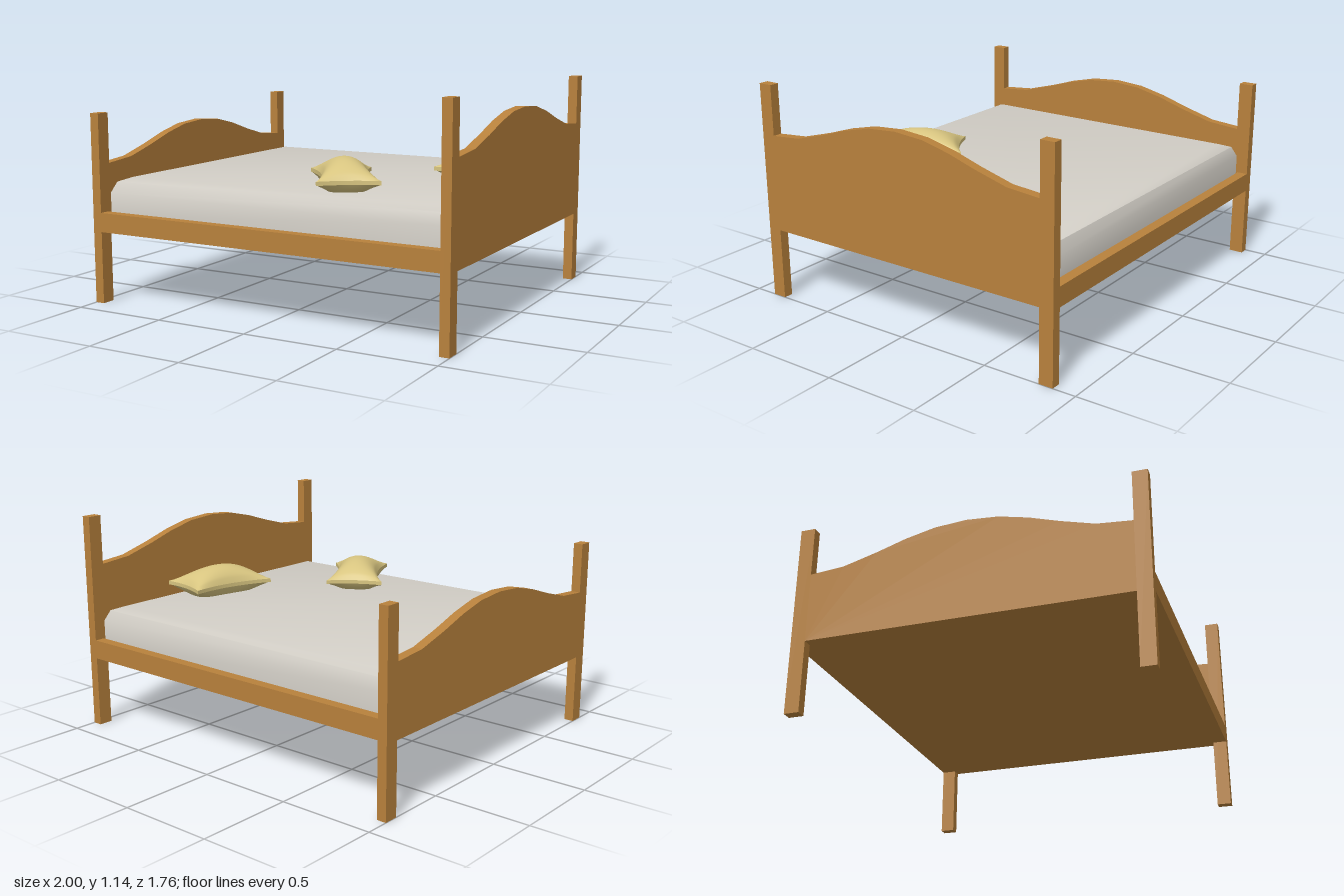
import * as THREE from 'three';
import { toCreasedNormals } from 'three/addons/utils/BufferGeometryUtils.js';

export function createModel() {
  const group = new THREE.Group();
  const wood = new THREE.MeshStandardMaterial({ name: 'wood', color: 0xb8813c });
  const sheet = new THREE.MeshStandardMaterial({ name: 'sheet', color: 0xd3cfc7 });
  const cushion = new THREE.MeshStandardMaterial({ name: 'cushion', color: 0xd8c580 });

  const add = (name, geometry, material, x = 0, y = 0, z = 0) => {
    const mesh = new THREE.Mesh(geometry, material);
    mesh.name = name;
    mesh.position.set(x, y, z);
    group.add(mesh);
    return mesh;
  };
  // Box given by its lower and upper limits
  const box = (name, [x0, y0, z0], [x1, y1, z1]) =>
    add(name, new THREE.BoxGeometry(x1 - x0, y1 - y0, z1 - z0), wood,
      (x0 + x1) / 2, (y0 + y1) / 2, (z0 + z1) / 2);

  // End boards with a wavy top edge: half outline as [z, y]
  const crest = [[0, 1.037], [0.16, 1.025], [0.31, 0.99], [0.46, 0.942], [0.63, 0.895], [0.805, 0.88]];
  const endBoard = (name, x, bottom, drop) => {
    const right = crest.map(([z, y]) => new THREE.Vector2(z, y - drop));
    const left = crest.slice(1).reverse().map(([z, y]) => new THREE.Vector2(-z, y - drop));
    const shape = new THREE.Shape([
      new THREE.Vector2(-0.805, bottom), ...left, ...right, new THREE.Vector2(0.805, bottom),
    ]);
    const geo = new THREE.ExtrudeGeometry(shape, { depth: 0.05, bevelEnabled: false });
    geo.rotateY(Math.PI / 2);
    add(name, geo, wood, x);
  };
  endBoard('headboard', 0.95, 0.375, 0);
  endBoard('footboard', -1, 0.365, 0.155);

  // Corner posts and side rails
  for (const s of [-1, 1]) {
    const z0 = s > 0 ? 0.805 : -0.88, z1 = z0 + 0.075;
    box('headPost', [0.95, 0, z0], [1, 1.14, z1]);
    box('footPost', [-1, 0, z0], [-0.95, 0.985, z1]);
    const r0 = s > 0 ? 0.825 : -0.88;
    box('sideRail', [-0.95, 0.375, r0], [0.95, 0.475, r0 + 0.055]);
  }
  box('basePanel', [-0.95, 0.375, -0.825], [0.95, 0.46, 0.825]);

  // Mattress: stacked rectangles [half x, y, half z], closed at both ends
  const rings = [[0.936, 0.455, 0.822], [0.936, 0.575, 0.822], [0.912, 0.63, 0.797], [0.86, 0.65, 0.74]];
  const pos = [], index = [];
  for (const [x, y, z] of rings) pos.push(-x, y, z, x, y, z, x, y, -z, -x, y, -z);
  for (let r = 0; r < rings.length - 1; r++) {
    for (let i = 0; i < 4; i++) {
      const a = r * 4 + i, b = r * 4 + (i + 1) % 4;
      index.push(a, b, b + 4, a, b + 4, a + 4);
    }
  }
  const t = (rings.length - 1) * 4;
  index.push(t, t + 1, t + 2, t, t + 2, t + 3, 0, 2, 1, 0, 3, 2);
  const mattress = new THREE.BufferGeometry();
  mattress.setAttribute('position', new THREE.Float32BufferAttribute(pos, 3));
  mattress.setIndex(index);
  add('mattress', toCreasedNormals(mattress, 0.6), sheet, 0.006);

  // Pillow: a flat box pinched along its sides and puffed in the middle
  const W = 0.154, L = 0.24;
  const pillow = new THREE.BoxGeometry(2, 2, 2, 20, 1, 28);
  const p = pillow.attributes.position;
  for (let i = 0; i < p.count; i++) {
    const u = p.getX(i), side = p.getY(i), v = p.getZ(i);
    const puff = Math.pow((1 - u * u) * (1 - v * v), 0.65);
    p.setXYZ(i,
      u * (W - 0.04 * (1 - v * v)),
      side * (0.01 + 0.087 * puff),
      v * (L - 0.022 * (1 - u * u)));
  }
  pillow.computeVertexNormals();
  add('frontPillow', pillow, cushion, 0.26, 0.702, 0.49).rotation.y = 0.585;
  add('backPillow', pillow, cushion, 0.73, 0.702, -0.163).rotation.y = -0.21;

  return group;
}
